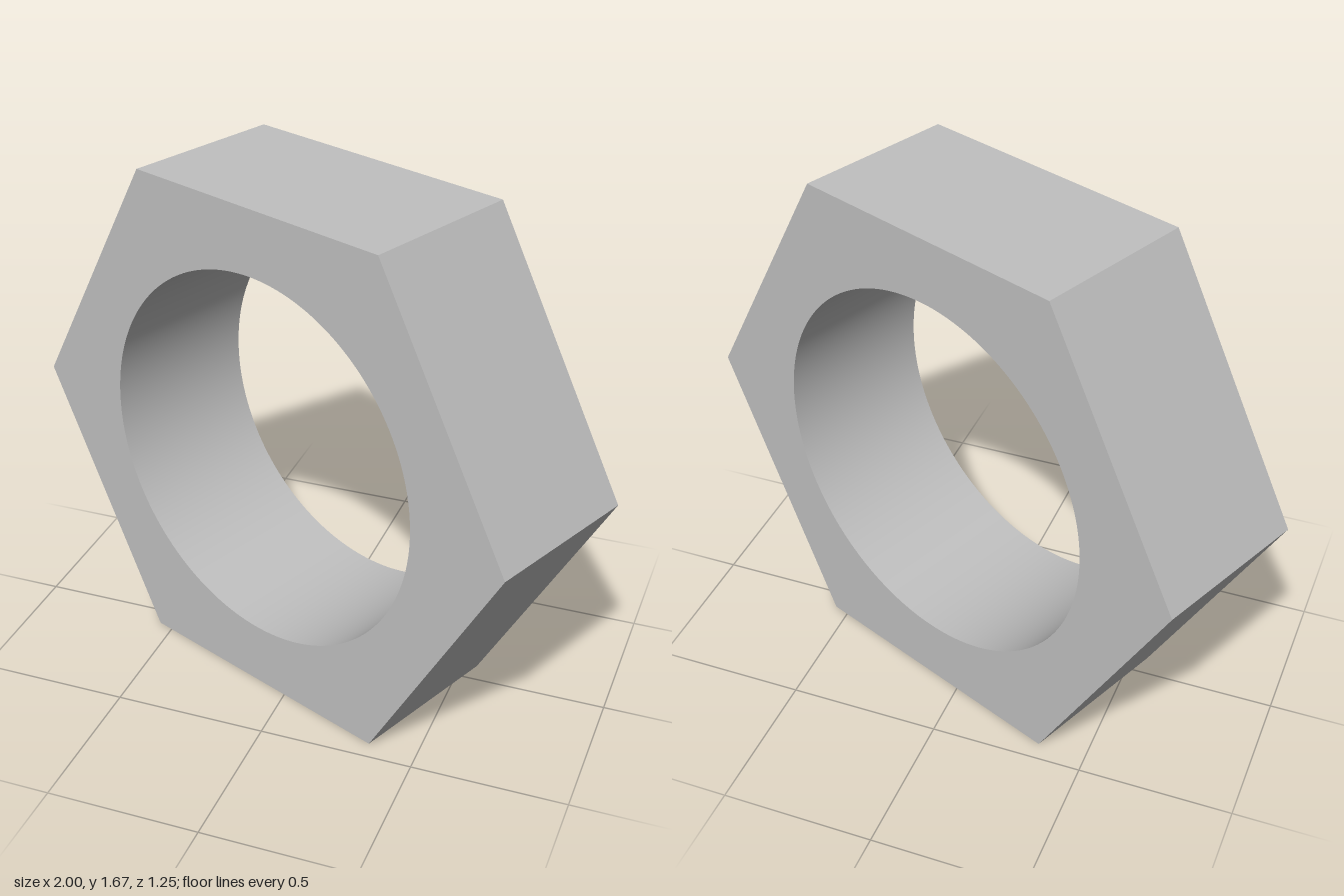
import * as THREE from 'three';
import { toCreasedNormals } from 'three/addons/utils/BufferGeometryUtils.js';

const RADIUS = 0.967;      // hexagon centre to corner
const BORE = 0.624;        // radius of the round hole
const THICKNESS = 0.552;
const TURN = -0.39;        // turn about the vertical axis

export function createModel() {
  const metal = new THREE.MeshStandardMaterial({ color: 0xc0c0c0 });
  metal.name = 'light grey';

  // hexagon outline with flat top and bottom
  const corners = [];
  for (let i = 0; i < 6; i++) {
    const a = (i * Math.PI) / 3;
    corners.push(new THREE.Vector2(RADIUS * Math.cos(a), RADIUS * Math.sin(a)));
  }
  const outline = new THREE.Shape(corners);

  // round bore
  const bore = new THREE.Path();
  bore.absarc(0, 0, BORE, 0, Math.PI * 2, true);
  outline.holes.push(bore);

  const extruded = new THREE.ExtrudeGeometry(outline, {
    depth: THICKNESS,
    bevelEnabled: false,
    curveSegments: 96,
  });
  extruded.translate(0, 0, -THICKNESS / 2);

  // smooth bore, sharp hexagon edges
  const nut = new THREE.Mesh(toCreasedNormals(extruded, Math.PI / 6), metal);
  nut.name = 'hexNut';
  nut.rotation.y = TURN;
  nut.position.y = (RADIUS * Math.sqrt(3)) / 2;

  const model = new THREE.Group();
  model.name = 'nut';
  model.add(nut);
  return model;
}
